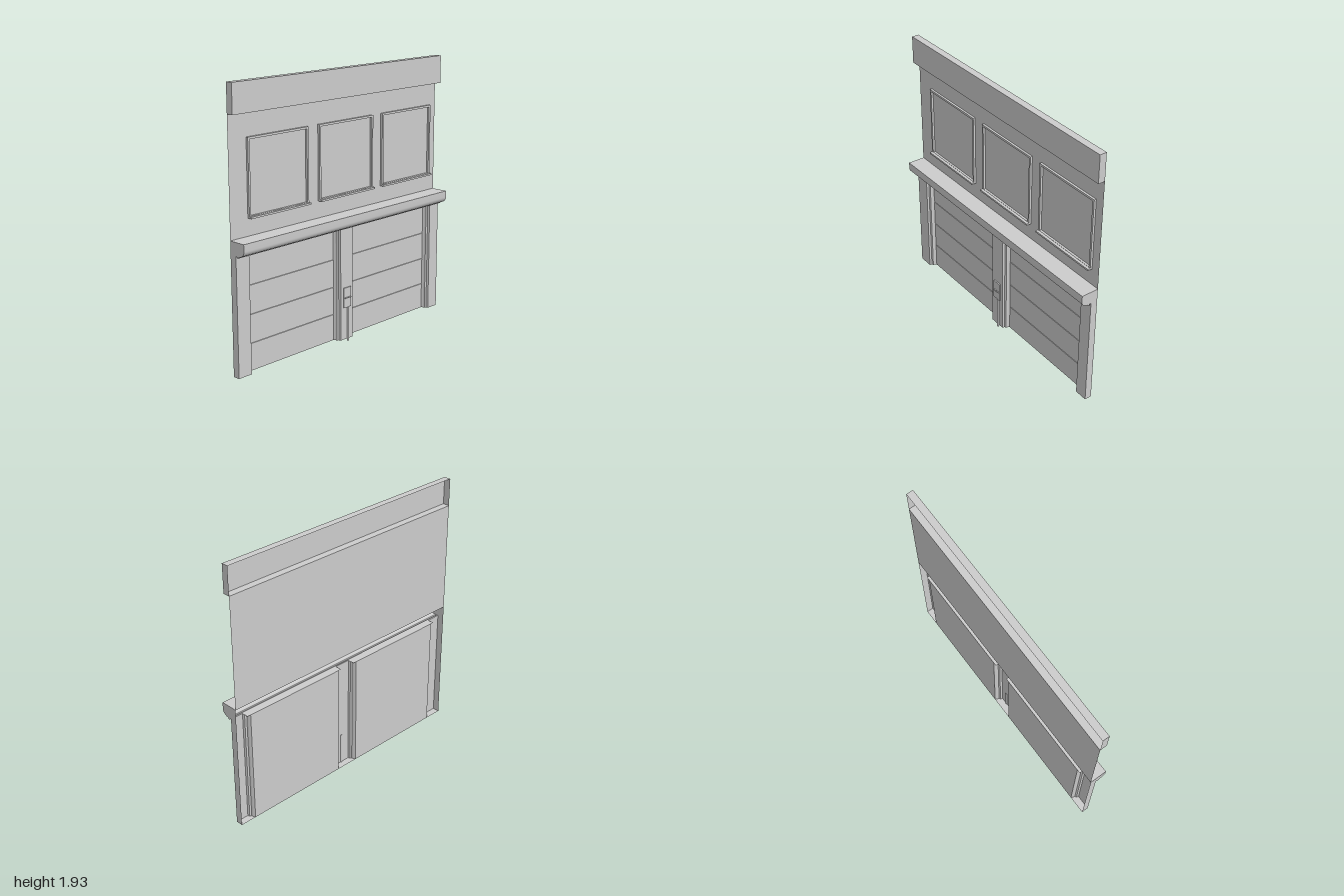
import * as THREE from 'three';
import { toCreasedNormals } from 'three/addons/utils/BufferGeometryUtils.js';

const BACK = -0.063, FRONT = -0.012, BASE = 0.015, SOFFIT = 0.84;
const material = new THREE.MeshStandardMaterial({ color: 0xcccccc, side: THREE.DoubleSide });

function add(parent, name, geometry, x = 0, y = 0, z = 0) {
  const mesh = new THREE.Mesh(geometry, material);
  mesh.name = name;
  mesh.position.set(x, y, z);
  parent.add(mesh);
  return mesh;
}

// Open sheet: a polyline of [x, y, z] points swept along an offset
function sheet(points, offset, crease = 0.1) {
  const pos = [], index = [];
  points.forEach(([x, y, z], i) => {
    pos.push(x, y, z, x + offset[0], y + offset[1], z + offset[2]);
    if (i) {
      const a = 2 * i - 2;
      index.push(a, a + 1, a + 2, a + 2, a + 1, a + 3);
    }
  });
  const g = new THREE.BufferGeometry();
  g.setAttribute('position', new THREE.Float32BufferAttribute(pos, 3));
  g.setIndex(index);
  return toCreasedNormals(g, crease);
}

// Full-width moulding from a [z, y] profile, facing outwards, with closed ends
function moulding(parent, name, profile) {
  const group = new THREE.Group();
  group.name = name;
  parent.add(group);
  add(group, name + 'Face', sheet(profile.map(([z, y]) => [-1, y, z]), [2, 0, 0], 0.6));
  const end = new THREE.ShapeGeometry(new THREE.Shape(profile.map(([z, y]) => new THREE.Vector2(-z, y))));
  end.rotateY(Math.PI / 2);
  add(group, name + 'EndLeft', end, 1);
  add(group, name + 'EndRight', end, -1);
}

// Stepped door jamb: [distance from pillar edge, z]
const JAMB = [[0, FRONT], [0.004, -0.028], [0.017, -0.033], [0.019, -0.046], [0.026, BACK]];

// Hollow pillar between x0 and x1, with a jamb on each side that meets a door
function pillar(parent, name, x0, x1, jambLeft, jambRight) {
  const section = [];
  if (jambLeft) [...JAMB].reverse().forEach(([d, z]) => section.push([x0 - d, z]));
  else section.push([x0, BACK], [x0, FRONT]);
  if (jambRight) JAMB.forEach(([d, z]) => section.push([x1 + d, z]));
  else section.push([x1, FRONT], [x1, BACK]);
  add(parent, name, sheet(section.map(([x, z]) => [x, BASE, z]), [0, SOFFIT - BASE, 0]));
  const foot = new THREE.ShapeGeometry(new THREE.Shape(section.map(([x, z]) => new THREE.Vector2(x, z))));
  foot.rotateX(Math.PI / 2);
  add(parent, name + 'Foot', foot, 0, BASE, 0);
}

// Door of lapped horizontal boards, with the soffit above it
function door(parent, name, x0, x1) {
  const boards = [];
  const seams = [BASE, 0.21, 0.41, 0.61, SOFFIT];
  for (let i = 0; i < 4; i++) {
    boards.push([x0, seams[i], BACK + 0.004], [x0, seams[i + 1] - 0.006, BACK + 0.004],
      [x0, seams[i + 1] - 0.004, BACK + 0.001], [x0, seams[i + 1], BACK + 0.001]);
  }
  add(parent, name, sheet(boards, [x1 - x0, 0, 0]));
  add(parent, name + 'Back', sheet([[x0, BASE, BACK], [x0, SOFFIT, BACK]], [x1 - x0, 0, 0]));
  add(parent, name + 'Soffit', sheet([[x0 - 0.026, SOFFIT, BACK], [x0 - 0.026, SOFFIT, FRONT]], [x1 - x0 + 0.052, 0, 0]));
}

// Square window surround with a projecting sill
function windowFrame(parent, x0, x1) {
  const y0 = 1.05, y1 = 1.575, t = 0.015;
  const rect = (C, a, b, c, d) => new C([[a, b], [c, b], [c, d], [a, d]].map(p => new THREE.Vector2(...p)));
  const shape = rect(THREE.Shape, x0, y0, x1, y1);
  shape.holes.push(rect(THREE.Path, x0 + t, y0 + t, x1 - t, y1 - t));
  add(parent, 'windowFrame', new THREE.ExtrudeGeometry(shape, { depth: 0.016, bevelEnabled: false }), 0, 0, BACK);
  add(parent, 'windowSill', new THREE.BoxGeometry(x1 - x0, 0.013, 0.036), (x0 + x1) / 2, y0 + 0.0065, BACK + 0.018);
}

export function createModel() {
  const model = new THREE.Group();
  model.name = 'garageFront';

  // Upper wall and the beam above it
  add(model, 'upperWall', sheet([[-1, 0.93, BACK], [-1, 1.735, BACK]], [2, 0, 0]));
  moulding(model, 'topBeam', [[BACK, 1.735], [FRONT, 1.735], [FRONT, 1.935], [BACK, 1.935]]);

  // Rounded ledge over the doors, open at the back
  const curve = [];
  for (let i = 0; i <= 8; i++) {
    const a = (i / 8) * Math.PI / 2;
    curve.push([0.012 + 0.053 * Math.cos(a), 0.885 - 0.045 * Math.sin(a)]);
  }
  moulding(model, 'ledge', [[BACK, 0.932], [0.065, 0.932], ...curve,
    [0.011, 0.831], [0.001, 0.831], [-0.001, SOFFIT], [FRONT, SOFFIT], [BACK, SOFFIT + 0.002]]
    .slice(0, -1));
  // Ledge ends behind the pillar line
  for (const x of [-1, 1]) {
    add(model, 'ledgeReturn', sheet([[x, SOFFIT, BACK], [x, SOFFIT, FRONT]], [0, 0.092, 0]));
  }

  // Windows
  for (const [a, b] of [[-0.85, -0.32], [-0.22, 0.31], [0.405, 0.935]]) windowFrame(model, a, b);

  // Pillars and doors
  pillar(model, 'rightPillar', -1, -0.89, false, true);
  pillar(model, 'centrePillar', -0.055, 0.066, true, true);
  pillar(model, 'leftPillar', 0.905, 1, true, false);
  door(model, 'rightDoor', -0.864, -0.081);
  door(model, 'leftDoor', 0.092, 0.879);

  // Control box with a hinged lid, and its conduit
  add(model, 'controlBox', new THREE.BoxGeometry(0.07, 0.145, 0.009), 0.005, 0.325, FRONT + 0.0045);
  for (const x of [-0.012, 0.022]) {
    add(model, 'boxHinge', new THREE.BoxGeometry(0.028, 0.005, 0.014), x, 0.325, FRONT + 0.011);
  }
  add(model, 'conduit', new THREE.CylinderGeometry(0.008, 0.008, 0.25, 8), 0.016, 0.125, FRONT + 0.002);
  return model;
}
